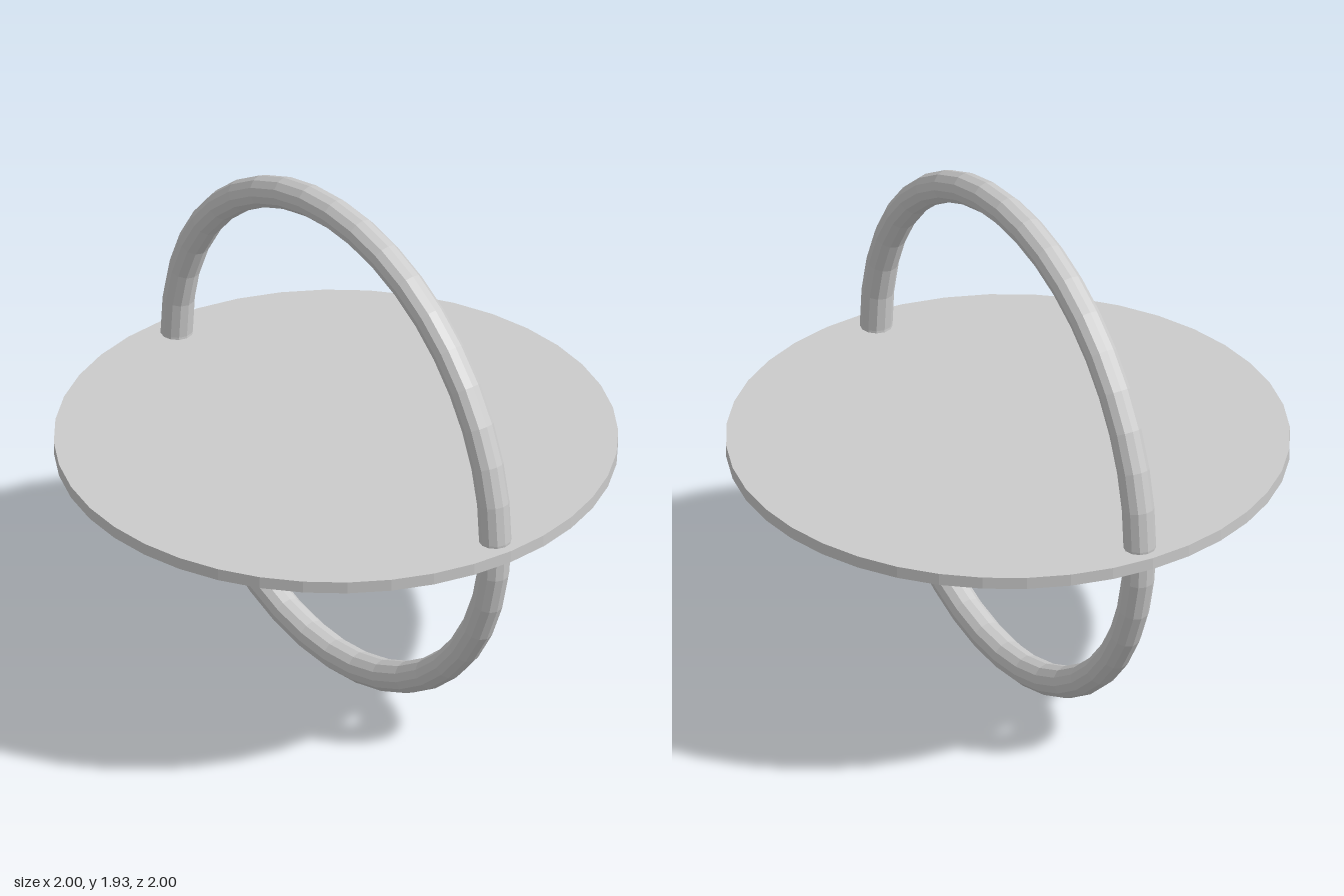
import * as THREE from 'three';

export function createModel() {
  const group = new THREE.Group();
  const material = new THREE.MeshStandardMaterial({ color: 0xcccccc, flatShading: true });

  const add = (name, geometry, y) => {
    const mesh = new THREE.Mesh(geometry, material);
    mesh.name = name;
    mesh.position.y = y;
    group.add(mesh);
  };

  // Upright ring standing on the ground
  const tube = 0.058;
  const outer = 0.967;
  add('ring', new THREE.TorusGeometry(outer - tube, tube, 12, 40), outer);

  // Thin flat disc crossing the ring just below its middle
  add('disc', new THREE.CylinderGeometry(1, 1, 0.045, 40), 0.936);

  return group;
}
